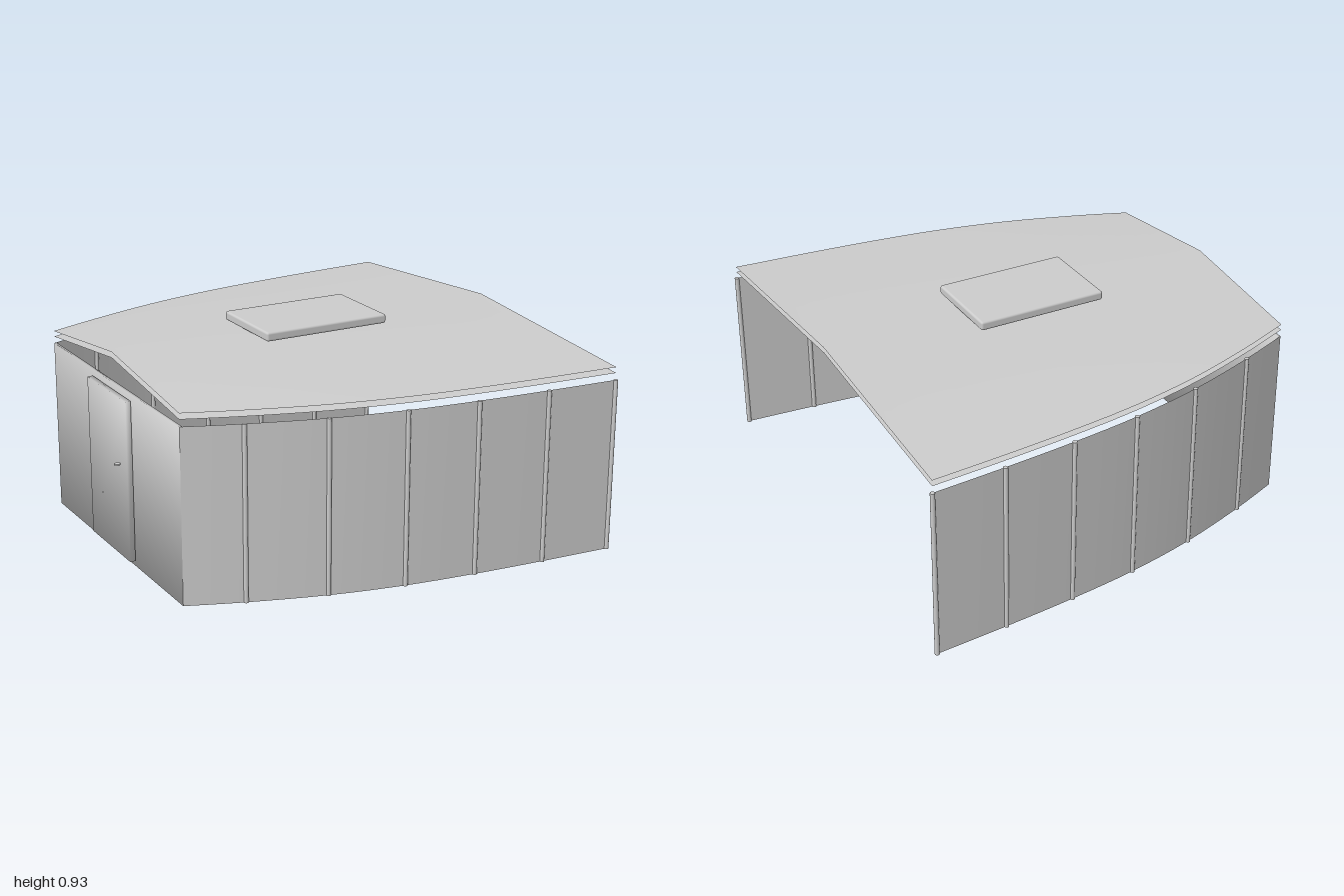
import * as THREE from 'three';
import { mergeVertices } from 'three/addons/utils/BufferGeometryUtils.js';
import { RoundedBoxGeometry } from 'three/addons/geometries/RoundedBoxGeometry.js';

const EAVE = 0.81, RIDGE = 0.885, WALL_H = 0.755;

// Plan curve of one side wall: x along the building, y = half width
const plan = new THREE.SplineCurve([
  [-0.885, 0.63], [-0.65, 0.72], [-0.33, 0.822], [-0.01, 0.892],
  [0.3, 0.934], [0.62, 0.964], [0.94, 0.987],
].map(([x, z]) => new THREE.Vector2(x, z)));

// Smooth surface from cross-sections, each an array of the same number of [x, y, z] points
function loft(sections) {
  const n = sections[0].length, index = [];
  for (let i = 0; i < sections.length - 1; i++) {
    for (let j = 0; j < n - 1; j++) {
      const a = i * n + j, b = a + n;
      index.push(a, a + 1, b, b, a + 1, b + 1);
    }
  }
  const g = new THREE.BufferGeometry();
  g.setAttribute('position', new THREE.Float32BufferAttribute(sections.flat(2), 3));
  g.setIndex(index);
  g.computeVertexNormals();
  return g;
}

// Thin box with corner normals pointing diagonally outward, for soft shading
function softBox(w, h, d) {
  let g = new THREE.BoxGeometry(w, h, d);
  g.deleteAttribute('normal');
  g.deleteAttribute('uv');
  g = mergeVertices(g);
  const p = g.attributes.position, k = 1 / Math.sqrt(3), normals = [];
  for (let i = 0; i < p.count; i++) {
    normals.push(Math.sign(p.getX(i)) * k, Math.sign(p.getY(i)) * k, Math.sign(p.getZ(i)) * k);
  }
  g.setAttribute('normal', new THREE.Float32BufferAttribute(normals, 3));
  return g;
}

export function createModel() {
  const model = new THREE.Group();
  model.name = 'shelter';
  const grey = new THREE.MeshStandardMaterial({ color: 0xcccccc, side: THREE.DoubleSide });
  grey.name = 'light grey';

  const add = (name, geometry, x = 0, y = 0, z = 0) => {
    const mesh = new THREE.Mesh(geometry, grey);
    mesh.name = name;
    mesh.position.set(x, y, z);
    model.add(mesh);
    return mesh;
  };

  const outline = plan.getPoints(24);

  // Curved side walls with round posts
  for (const side of [1, -1]) {
    const label = side > 0 ? 'front' : 'back';
    const sections = outline.map(p => {
      const low = [p.x, 0, side * p.y], high = [p.x, WALL_H, side * p.y];
      return side > 0 ? [high, low] : [low, high];
    });
    add(label + 'Wall', loft(sections));
    for (const p of plan.points.slice(1)) {
      add(label + 'Post', new THREE.CylinderGeometry(0.01, 0.01, WALL_H, 12), p.x, WALL_H / 2, side * p.y);
    }
  }

  // Two gabled roof sheets, one just under the other
  const roof = loft(outline.map(p => [[p.x, EAVE, -p.y], [p.x, RIDGE, 0], [p.x, EAVE, p.y]]));
  add('roofOuterSheet', roof);
  add('roofInnerSheet', roof, 0, -0.025, 0);

  // Hatch on the ridge
  add('roofHatch', new RoundedBoxGeometry(0.58, 0.04, 0.385, 2, 0.01), 0.025, RIDGE + 0.02, 0);

  // Closed narrow end with its door and knob
  add('endWall', softBox(0.012, WALL_H, 1.26), -0.879, WALL_H / 2, 0);
  add('door', softBox(0.024, 0.7, 0.385), -0.904, 0.38, 0);
  add('doorKnob', new THREE.CylinderGeometry(0.013, 0.013, 0.006, 16), -0.937, 0.45, 0.14);

  return model;
}
